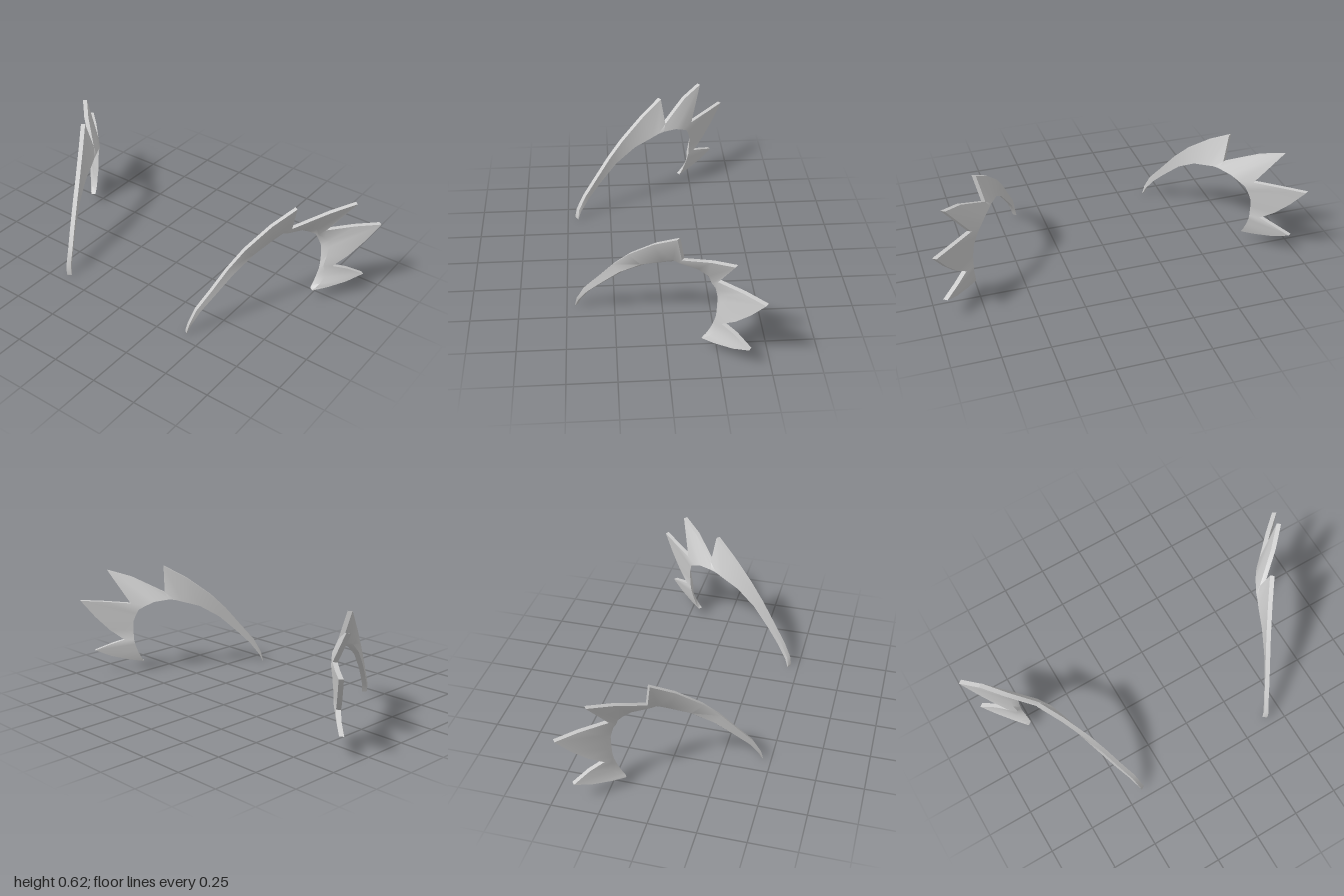
import * as THREE from 'three';
import { toCreasedNormals } from 'three/addons/utils/BufferGeometryUtils.js';

// Ribs along the crest: inner rim (x, y, z), then outer edge (x, y, z)
const RIBS = [
  [0.40, 0.00, 0.447, 0.402, 0.012, 0.45], // front tip
  [0.413, 0.045, 0.43, 0.41, 0.06, 0.44],
  [0.44, 0.12, 0.38, 0.427, 0.14, 0.40],
  [0.48, 0.20, 0.31, 0.467, 0.235, 0.33],
  [0.53, 0.303, 0.21, 0.51, 0.345, 0.25],
  [0.577, 0.378, 0.10, 0.555, 0.437, 0.17],
  [0.615, 0.415, 0.00, 0.63, 0.545, 0.05],
  [0.632, 0.43, -0.04, 0.705, 0.622, -0.06], // first spike
  [0.645, 0.437, -0.075, 0.67, 0.475, -0.085],
  [0.69, 0.427, -0.15, 0.815, 0.563, -0.21],
  [0.72, 0.405, -0.19, 0.91, 0.603, -0.31], // second spike
  [0.745, 0.385, -0.22, 0.78, 0.42, -0.25],
  [0.757, 0.36, -0.228, 0.89, 0.43, -0.36],
  [0.765, 0.34, -0.233, 0.99, 0.433, -0.45], // third spike
  [0.775, 0.31, -0.24, 0.935, 0.335, -0.39],
  [0.78, 0.26, -0.238, 0.88, 0.255, -0.33],
  [0.78, 0.20, -0.235, 0.825, 0.197, -0.27],
  [0.78, 0.17, -0.228, 0.88, 0.17, -0.33],
  [0.775, 0.13, -0.215, 0.95, 0.13, -0.39], // fourth spike
  [0.77, 0.095, -0.20, 0.89, 0.093, -0.32],
  [0.767, 0.073, -0.188, 0.82, 0.07, -0.24],
  [0.765, 0.062, -0.18, 0.768, 0.06, -0.183],
];

// Closed four-sided sweep along the ribs; side is +1 or -1
function crestGeometry(side) {
  const half = new THREE.Vector3(0.8, 0, 0.6).multiplyScalar(0.012);
  const pos = [], idx = [];
  const tri = (a, b, c) => (side > 0 ? idx.push(a, b, c) : idx.push(a, c, b));
  for (const r of RIBS) {
    const inner = new THREE.Vector3(r[0], r[1], r[2]);
    const outer = new THREE.Vector3(r[3], r[4], r[5]);
    const bevel = inner.clone().lerp(outer, 0.15); // slanted inner rim
    const ring = [
      inner.clone().sub(half), bevel.add(half),
      outer.clone().add(half), outer.clone().sub(half),
    ];
    for (const p of ring) pos.push(p.x * side, p.y, p.z);
  }
  const n = RIBS.length;
  for (let i = 0; i < n - 1; i++) {
    for (let j = 0; j < 4; j++) {
      const a = i * 4 + j, b = i * 4 + (j + 1) % 4;
      tri(a, a + 4, b);
      tri(b, a + 4, b + 4);
    }
  }
  // End caps
  const e = (n - 1) * 4;
  tri(0, 1, 2);
  tri(0, 2, 3);
  tri(e, e + 2, e + 1);
  tri(e, e + 3, e + 2);
  const geo = new THREE.BufferGeometry();
  geo.setAttribute('position', new THREE.Float32BufferAttribute(pos, 3));
  geo.setIndex(idx);
  return toCreasedNormals(geo, 0.95);
}

export function createModel() {
  const model = new THREE.Group();
  model.name = 'spikedCrests';
  const material = new THREE.MeshStandardMaterial({ color: 0xcccccc });
  for (const side of [1, -1]) {
    const crest = new THREE.Mesh(crestGeometry(side), material);
    crest.name = side > 0 ? 'leftCrest' : 'rightCrest';
    model.add(crest);
  }
  return model;
}
